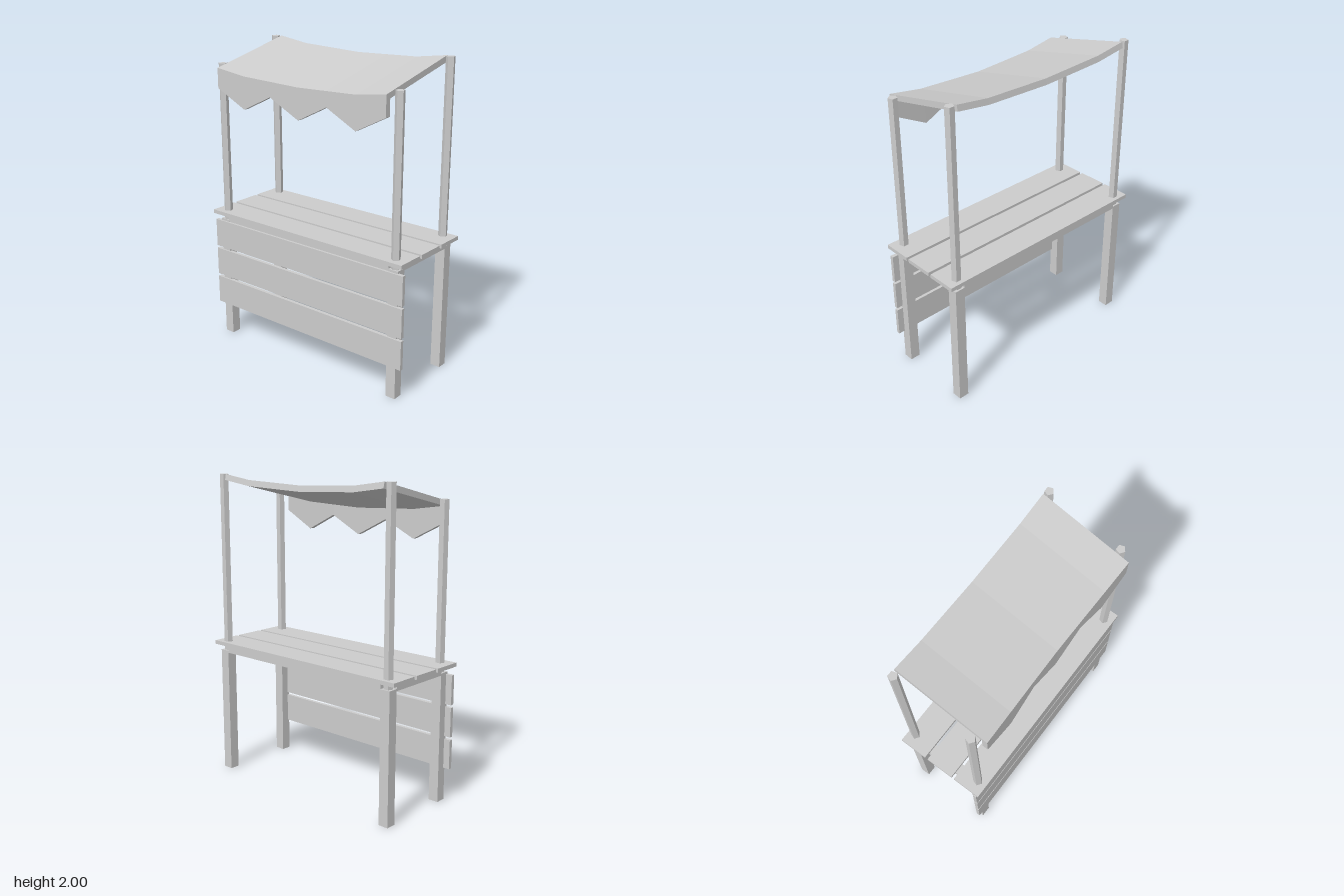
import * as THREE from 'three';

const mat = new THREE.MeshStandardMaterial({ color: 0xcccccc, flatShading: true });
const clothMat = new THREE.MeshStandardMaterial({ color: 0xcccccc, flatShading: true, side: THREE.DoubleSide });

// Box given by its min and max on each axis
function box(name, [x0, x1], [y0, y1], [z0, z1]) {
  const mesh = new THREE.Mesh(new THREE.BoxGeometry(x1 - x0, y1 - y0, z1 - z0), mat);
  mesh.position.set((x0 + x1) / 2, (y0 + y1) / 2, (z0 + z1) / 2);
  mesh.name = name;
  return mesh;
}

// Sagging cloth roof with a zigzag valance: L-shaped sections lofted along z
function canopyGeometry() {
  // |z|, sag of the roof, outer x of the valance, y of its lower edge
  const half = [
    [0.65, 0, -0.315, 1.735],
    [0.435, 0.03, -0.306, 1.625],
    [0.22, 0.038, -0.301, 1.73],
    [0, 0.046, -0.297, 1.62],
  ];
  const stations = [
    ...half.map(([z, ...r]) => [-z, ...r]),
    ...half.slice(0, 3).reverse(),
  ];
  const rings = stations.map(([z, sag, xo, low]) => {
    const xi = xo + 0.036;
    return [
      [0.283, 2 - sag], [xo, 1.863 - sag], [xo, low],
      [xi, low], [xi, 1.836 - sag], [0.291, 1.963 - sag],
    ].map(([x, y]) => [x, y, z]);
  });
  const pos = [];
  const quad = (a, b, c, d) => pos.push(...a, ...b, ...c, ...a, ...c, ...d);
  for (let s = 0; s < rings.length - 1; s++) {
    const p = rings[s], q = rings[s + 1];
    for (let i = 0; i < 6; i++) {
      const j = (i + 1) % 6;
      quad(p[i], p[j], q[j], q[i]);
    }
  }
  // End caps
  const [a, b, c, d, e, f] = rings[rings.length - 1];
  quad(a, b, e, f);
  quad(b, c, d, e);
  const [g, h, i, j, k, l] = rings[0];
  quad(l, k, h, g);
  quad(k, j, i, h);
  const geo = new THREE.BufferGeometry();
  geo.setAttribute('position', new THREE.Float32BufferAttribute(pos, 3));
  geo.computeVertexNormals();
  return geo;
}

export function createModel() {
  const model = new THREE.Group();
  model.name = 'marketStall';

  const legX = [[-0.265, -0.2], [0.235, 0.3]];
  const legZ = [[-0.722, -0.655], [0.655, 0.722]];

  // Legs and the frame rails joining them
  for (const x of legX) {
    for (const z of legZ) model.add(box('leg', x, [0, 0.837], z));
    model.add(box('longRail', x, [0.824, 0.87], [-0.655, 0.655]));
  }
  for (const z of legZ) model.add(box('endRail', [-0.2, 0.235], [0.824, 0.87], z));

  // Counter planks
  for (const x of [-0.295, -0.085, 0.125]) {
    model.add(box('counterPlank', [x, x + 0.19], [0.87, 0.895], [-0.765, 0.765]));
  }

  // Horizontal boards closing the customer side
  for (const y of [0.215, 0.424, 0.632]) {
    model.add(box('sideBoard', [-0.276, -0.252], [y, y + 0.19], [-0.765, 0.765]));
  }

  // Five-sided poles, taller on the high side of the roof
  for (const [x, top] of [[-0.235, 1.88], [0.265, 2]]) {
    for (const z of [-0.685, 0.685]) {
      const h = top - 0.837;
      const pole = new THREE.Mesh(
        new THREE.CylinderGeometry(0.029, 0.029, h, 5, 1, false, -Math.PI / 2), mat);
      pole.position.set(x, 0.837 + h / 2, z);
      pole.name = 'pole';
      model.add(pole);
    }
  }

  const canopy = new THREE.Mesh(canopyGeometry(), clothMat);
  canopy.name = 'canopy';
  model.add(canopy);
  return model;
}
